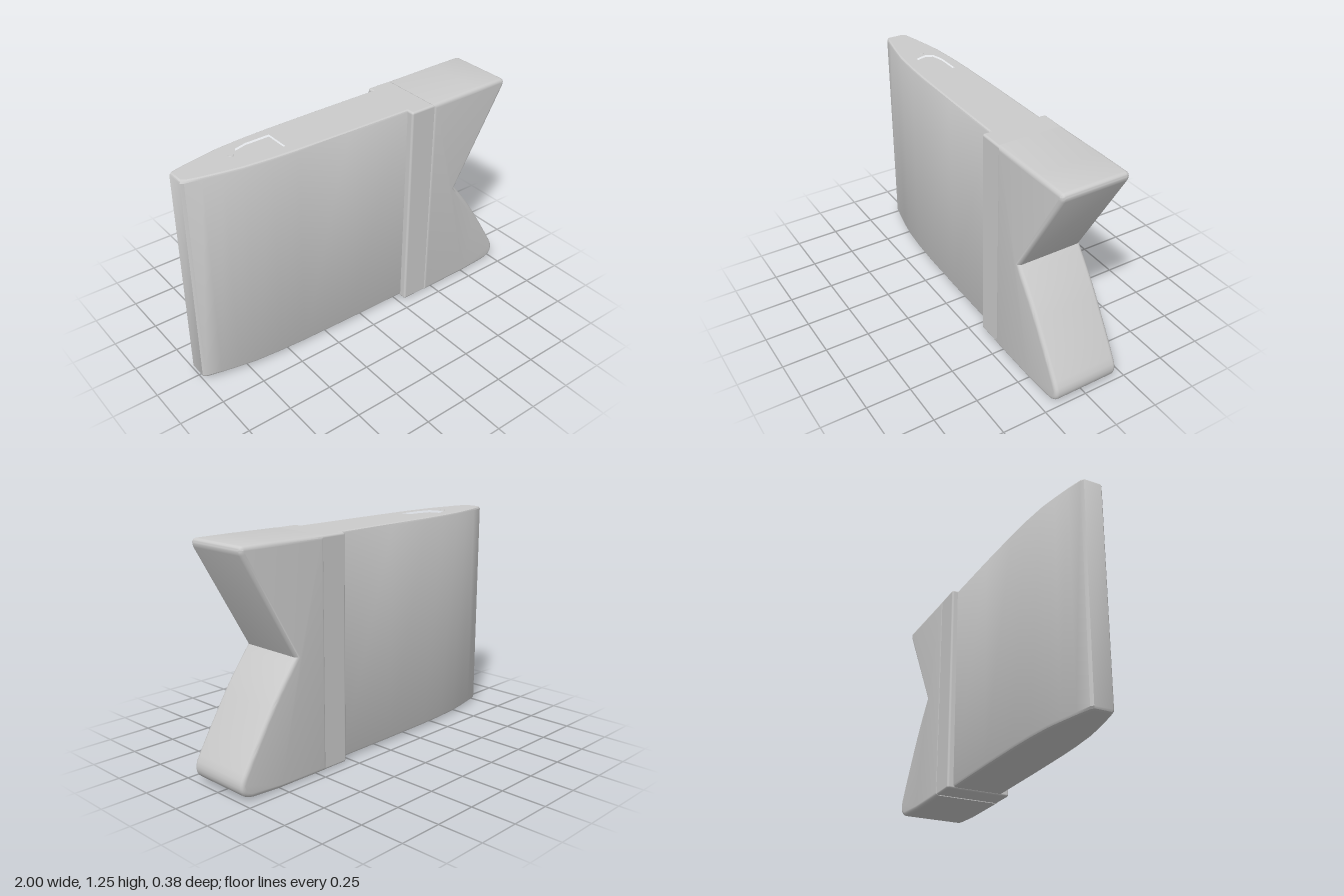
import * as THREE from 'three';
import { toCreasedNormals } from 'three/addons/utils/BufferGeometryUtils.js';
import { RoundedBoxGeometry } from 'three/addons/geometries/RoundedBoxGeometry.js';

const material = new THREE.MeshStandardMaterial({ color: 0xcccccc });
const CENTRE_Z = -0.006;

// Half-thickness of the tapered body along its length: [x, half z]
const BODY = [[-1, 0.05], [-0.985, 0.062], [-0.9, 0.082], [-0.8, 0.103], [-0.7, 0.121],
  [-0.55, 0.134], [-0.4, 0.141], [-0.1, 0.147], [0.28, 0.15], [0.4, 0.15]];

// Outline of the shallow tray in the top edge: [x, z]
const TRAY = [[-0.43, -0.075], [-0.43, 0.072], [-0.55, 0.068], [-0.64, 0.047],
  [-0.65, 0.02], [-0.66, -0.02], [-0.64, -0.055], [-0.57, -0.073]];

// Closed plan outline of the body, shrunk by an inset
function bodyOutline(inset) {
  const side = BODY.map(([x, h], i) => [x + (i < 2 ? inset : 0), h - inset]);
  return [...side, ...side.slice().reverse().map(([x, h]) => [x, -h])];
}

// Wall through a stack of [y, outline] rings
function wall(rings) {
  const n = rings[0][1].length, pos = [], index = [];
  for (const [y, pts] of rings) for (const [x, z] of pts) pos.push(x, y, z);
  for (let r = 0; r < rings.length - 1; r++) {
    for (let i = 0; i < n; i++) {
      const a = r * n + i, b = r * n + (i + 1) % n;
      index.push(a, b, b + n, a, b + n, a + n);
    }
  }
  const g = new THREE.BufferGeometry();
  g.setAttribute('position', new THREE.Float32BufferAttribute(pos, 3));
  g.setIndex(index);
  return toCreasedNormals(g, 0.5);
}

// Horizontal face at height y, optionally with a hole or facing down
function cap(pts, y, { hole, down } = {}) {
  const s = down ? 1 : -1;
  const toV = ([x, z]) => new THREE.Vector2(x, s * z);
  const shape = new THREE.Shape(pts.map(toV));
  if (hole) shape.holes.push(new THREE.Path(hole.map(toV)));
  return new THREE.ShapeGeometry(shape).rotateX(s * Math.PI / 2).translate(0, y, 0);
}

function add(parent, name, geometry, x = 0, y = 0, z = 0) {
  const mesh = new THREE.Mesh(geometry, material);
  mesh.name = name;
  mesh.position.set(x, y, z);
  parent.add(mesh);
  return mesh;
}

export function createModel() {
  const model = new THREE.Group();
  model.name = 'wedgeBlock';

  // Tapered body with softened top and bottom rims
  const body = new THREE.Group();
  body.name = 'body';
  body.position.z = CENTRE_Z;
  model.add(body);
  const top = 1.242, bottom = 0.014, floor = top - 0.012;
  add(body, 'bodySides', wall([
    [bottom, bodyOutline(0.014)], [bottom + 0.005, bodyOutline(0.005)], [bottom + 0.016, bodyOutline(0)],
    [top - 0.012, bodyOutline(0)], [top - 0.004, bodyOutline(0.004)], [top, bodyOutline(0.012)],
  ]));
  add(body, 'bodyTop', cap(bodyOutline(0.012), top, { hole: TRAY }));
  add(body, 'bodyBottom', cap(bodyOutline(0.014), bottom, { down: true }));

  // Shallow tray and the small nub in front of it
  add(body, 'trayWall', wall([[top, TRAY], [floor, TRAY]]));
  add(body, 'trayFloor', cap(TRAY, floor));
  add(body, 'trayNub', new THREE.CylinderGeometry(0.012, 0.016, 0.006, 12), -0.69, top + 0.001, -0.01);

  // Collar where the body steps out to the tail
  add(model, 'collar', new RoundedBoxGeometry(0.23, 1.236, 0.374, 3, 0.012), 0.403, 0.624, -0.003);

  // Notched tail block with rounded edges
  const s = new THREE.Shape();
  s.moveTo(0.432, 0.002);
  s.lineTo(0.75, 0.002);
  s.lineTo(0.92, 0.012);
  s.bezierCurveTo(0.985, 0.018, 1.012, 0.055, 0.992, 0.115);
  s.quadraticCurveTo(0.93, 0.23, 0.8, 0.435);
  s.quadraticCurveTo(0.74, 0.53, 0.635, 0.66);
  s.lineTo(0.952, 1.205);
  s.quadraticCurveTo(0.968, 1.245, 0.935, 1.25);
  s.lineTo(0.75, 1.249);
  s.lineTo(0.432, 1.244);
  s.closePath();
  const half = 0.191, bevel = 0.022;
  const tail = new THREE.ExtrudeGeometry(s, {
    depth: 2 * (half - bevel), bevelThickness: bevel, bevelSize: bevel, bevelOffset: -bevel,
    bevelSegments: 4, curveSegments: 8,
  });
  tail.translate(0, 0, -(half - bevel));
  add(model, 'notchedTail', toCreasedNormals(tail, 0.6), 0, 0, -0.002);

  return model;
}
